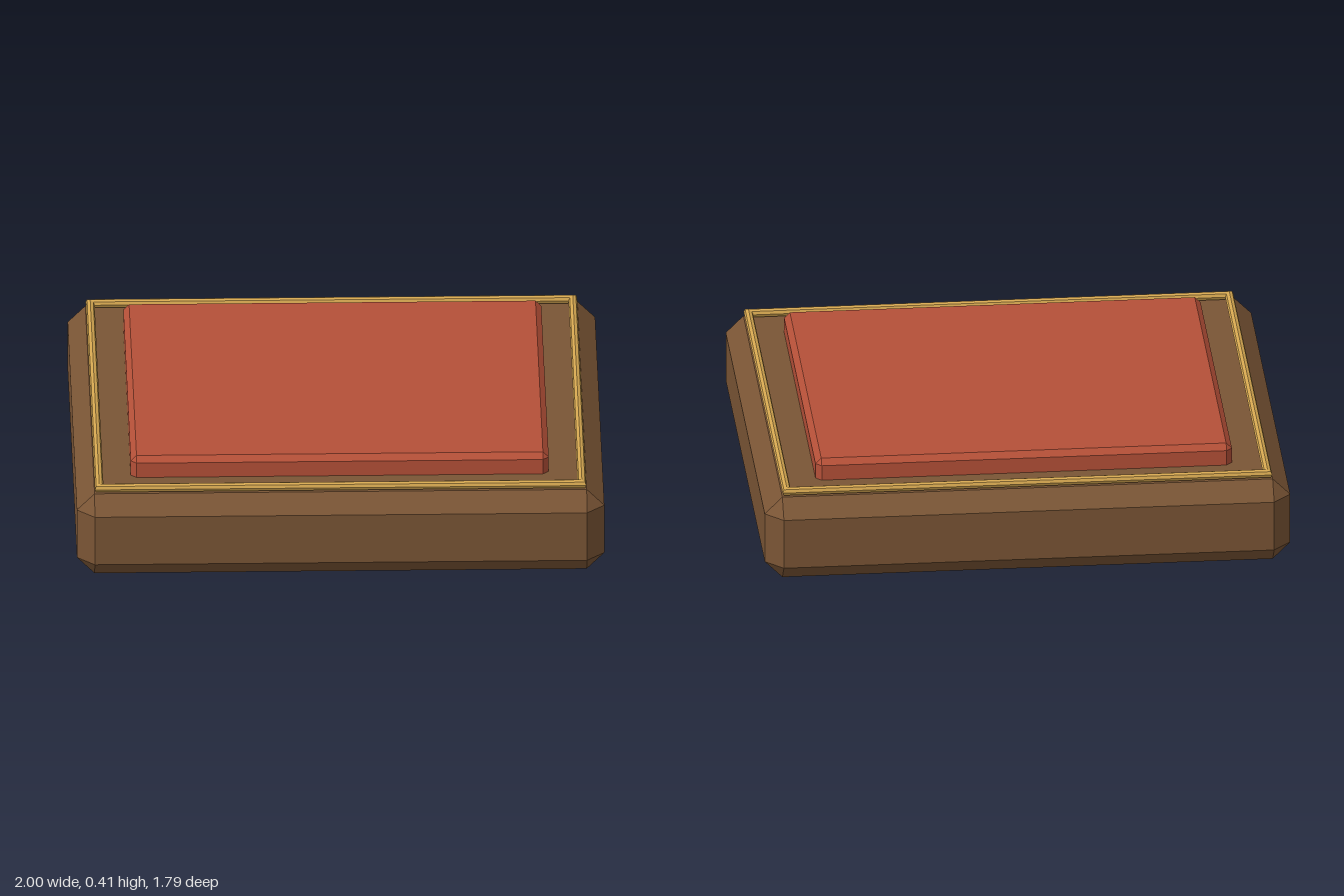
import * as THREE from 'three';
import { ConvexGeometry } from 'three/addons/geometries/ConvexGeometry.js';

const material = (name, color, flatShading = true) => {
  const m = new THREE.MeshStandardMaterial({ color, flatShading });
  m.name = name;
  return m;
};

// Box with every edge and corner cut by a flat chamfer
function chamferedBox(w, h, d, c) {
  const points = [];
  for (const sx of [-1, 1]) for (const sy of [-1, 1]) for (const sz of [-1, 1]) {
    const x = w / 2, y = h / 2, z = d / 2;
    points.push(
      new THREE.Vector3(sx * x, sy * (y - c), sz * (z - c)),
      new THREE.Vector3(sx * (x - c), sy * y, sz * (z - c)),
      new THREE.Vector3(sx * (x - c), sy * (y - c), sz * z));
  }
  return new ConvexGeometry(points);
}

// Rectangular rod frame with mitred corners: a four-sided lathe, corners moved out
function rodFrame(halfX, halfZ, radius, sides) {
  const profile = [];
  for (let i = 0; i <= sides; i++) {
    const a = (i / sides) * Math.PI * 2;
    profile.push(new THREE.Vector2(Math.SQRT2 * (1 + radius * Math.cos(a)), radius * Math.sin(a)));
  }
  const geometry = new THREE.LatheGeometry(profile, 4, Math.PI / 4);
  const p = geometry.attributes.position;
  for (let i = 0; i < p.count; i++) {
    p.setX(i, p.getX(i) + Math.sign(p.getX(i)) * (halfX - 1));
    p.setZ(i, p.getZ(i) + Math.sign(p.getZ(i)) * (halfZ - 1));
  }
  const flat = geometry.toNonIndexed();
  flat.computeVertexNormals();
  return flat;
}

export function createModel() {
  const group = new THREE.Group();
  group.name = 'cushionedPlinth';
  const add = (name, geometry, mat, y) => {
    const mesh = new THREE.Mesh(geometry, mat);
    mesh.name = name;
    mesh.position.y = y;
    group.add(mesh);
  };

  // Heavy wooden base
  add('base', chamferedBox(2, 0.333, 1.79, 0.067), material('brownWood', 0x7a5535), 0.1665);
  // Thin gilt rod around the top edge
  add('trim', rodFrame(0.915, 0.813, 0.0167, 8), material('gold', 0xd4a650), 0.35);
  // Padded panel, sunk slightly into the base
  add('cushion', chamferedBox(1.585, 0.115, 1.375, 0.022), material('redCloth', 0xb55038), 0.3575);

  return group;
}
